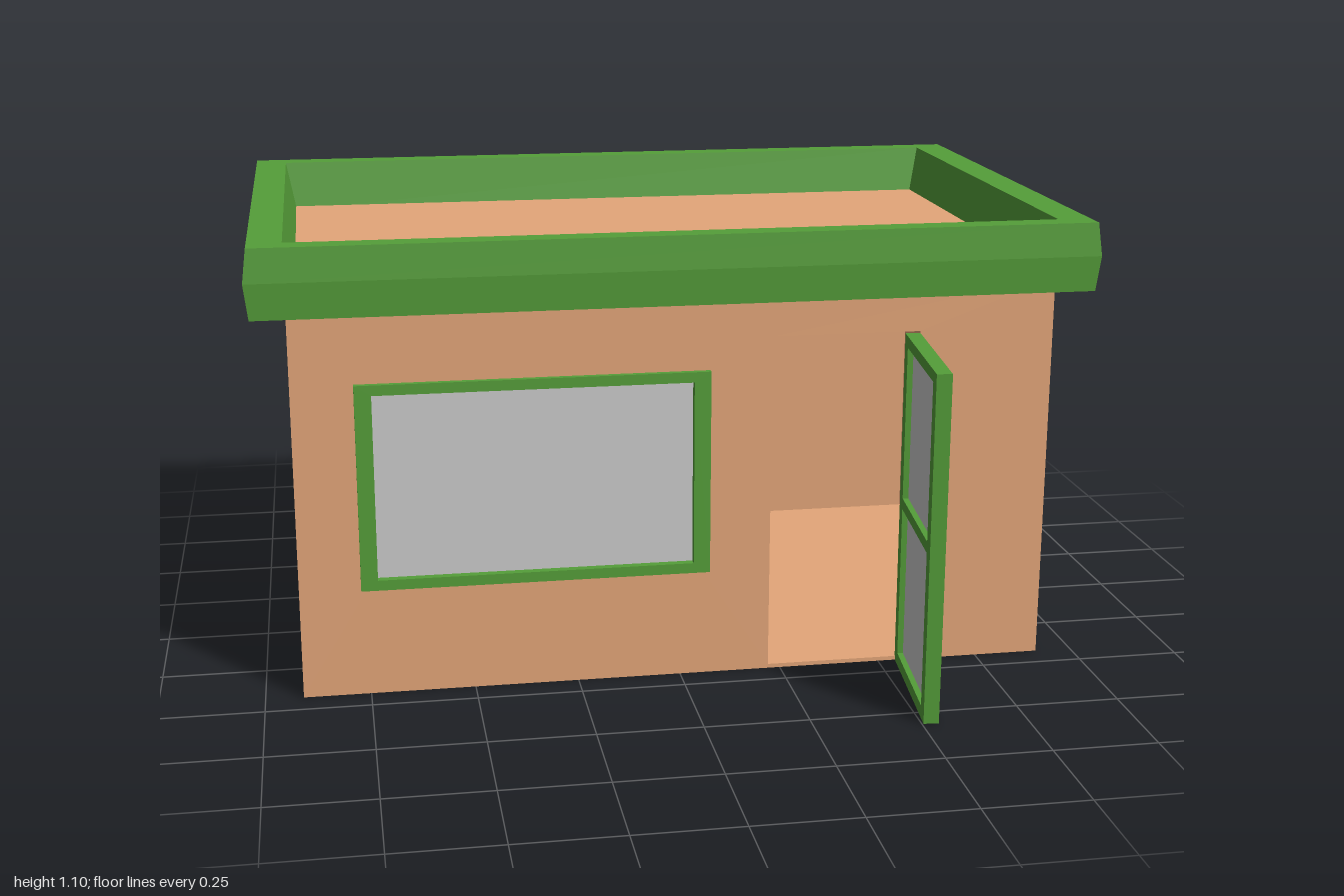
import * as THREE from 'three';

const paint = (color) => new THREE.MeshStandardMaterial({ color, flatShading: true });
const wallMat = paint(0xe4a679);
const trimMat = paint(0x559e39);
const glassMat = paint(0xcccccc);

// Box given by its minimum and maximum corners
function box(parent, name, mat, [x0, y0, z0], [x1, y1, z1]) {
  const mesh = new THREE.Mesh(new THREE.BoxGeometry(x1 - x0, y1 - y0, z1 - z0), mat);
  mesh.position.set((x0 + x1) / 2, (y0 + y1) / 2, (z0 + z1) / 2);
  mesh.name = name;
  parent.add(mesh);
  return mesh;
}

function rectPath(path, x0, y0, x1, y1) {
  path.moveTo(x0, y0);
  path.lineTo(x1, y0);
  path.lineTo(x1, y1);
  path.lineTo(x0, y1);
  path.closePath();
  return path;
}

// Flat rectangular panel with rectangular openings, each [x0, y0, x1, y1]
function panel(name, mat, outline, openings, depth) {
  const shape = rectPath(new THREE.Shape(), ...outline);
  for (const o of openings) shape.holes.push(rectPath(new THREE.Path(), ...o));
  const mesh = new THREE.Mesh(new THREE.ExtrudeGeometry(shape, { depth, bevelEnabled: false }), mat);
  mesh.name = name;
  return mesh;
}

// Rectangular ring swept from a closed profile of [halfWidth, halfDepth, height]
function ringGeometry(profile) {
  const corners = [[1, 1], [1, -1], [-1, -1], [-1, 1]];
  const pos = [];
  const at = (p, c) => [p[0] * c[0], p[2], p[1] * c[1]];
  profile.forEach((p, i) => {
    const q = profile[(i + 1) % profile.length];
    corners.forEach((c, j) => {
      const d = corners[(j + 1) % 4];
      pos.push(...at(p, c), ...at(p, d), ...at(q, d), ...at(p, c), ...at(q, d), ...at(q, c));
    });
  });
  const geo = new THREE.BufferGeometry();
  geo.setAttribute('position', new THREE.Float32BufferAttribute(pos, 3));
  geo.computeVertexNormals();
  return geo;
}

export function createModel() {
  const model = new THREE.Group();
  model.name = 'kiosk';
  const W = 0.91, back = -0.76, front = 0.43, top = 0.96, t = 0.022;

  // Hollow body: floor, plain walls, roof slab
  box(model, 'floor', wallMat, [-W, 0, back], [W, 0.01, front - t]);
  box(model, 'backWall', wallMat, [-W, 0.01, back], [W, top, back + t]);
  for (const [name, s] of [['leftWall', 1], ['rightWall', -1]]) {
    const a = s * W, b = s * (W - t);
    box(model, name, wallMat, [Math.min(a, b), 0.01, back + t], [Math.max(a, b), top, front - t]);
  }
  box(model, 'roof', wallMat, [-0.9, 0.945, back + 0.01], [0.9, 0.98, front - 0.01]);

  // Front wall with window and door openings
  const doorway = [0.22, 0.01, 0.58, 0.84];
  const frontWall = panel('frontWall', wallMat, [-W, 0, W, top],
    [[-0.74, 0.28, 0.045, 0.75], doorway], t);
  frontWall.position.z = front - t;
  model.add(frontWall);

  // Roof parapet trim with a slightly bulging outer face
  const trim = new THREE.Mesh(ringGeometry([
    [0.885, 0.575, 0.935], [0.99, 0.65, 0.935], [1, 0.655, 1.02],
    [0.99, 0.65, 1.1], [0.91, 0.593, 1.1], [0.885, 0.575, 0.97],
  ]), trimMat);
  trim.name = 'roofTrim';
  trim.position.z = -0.165;
  model.add(trim);

  // Window
  const windowGroup = new THREE.Group();
  windowGroup.name = 'window';
  const frame = panel('windowFrame', trimMat, [-0.765, 0.265, 0.07, 0.765],
    [[-0.725, 0.29, 0.03, 0.74]], 0.05);
  frame.position.z = 0.395;
  windowGroup.add(frame);
  box(windowGroup, 'windowPane', glassMat, [-0.73, 0.285, 0.415], [0.035, 0.745, 0.425]);
  model.add(windowGroup);

  // Door standing open on its hinge, two panes one above the other
  const door = new THREE.Group();
  door.name = 'door';
  const len = 0.39, thick = 0.036, panes = [[0.03, 0.405], [0.432, 0.808]];
  const leaf = panel('doorFrame', trimMat, [0, 0, len, 0.835],
    panes.map(([y0, y1]) => [0.035, y0, len - 0.037, y1]), thick);
  leaf.rotation.y = -Math.PI / 2;
  door.add(leaf);
  for (const [y0, y1] of panes) {
    box(door, 'doorPane', glassMat, [-0.022, y0 - 0.004, 0.031], [-0.014, y1 + 0.004, len - 0.033]);
  }
  door.position.set(0.58, 0, front);
  door.rotation.y = -0.104;
  model.add(door);

  return model;
}
